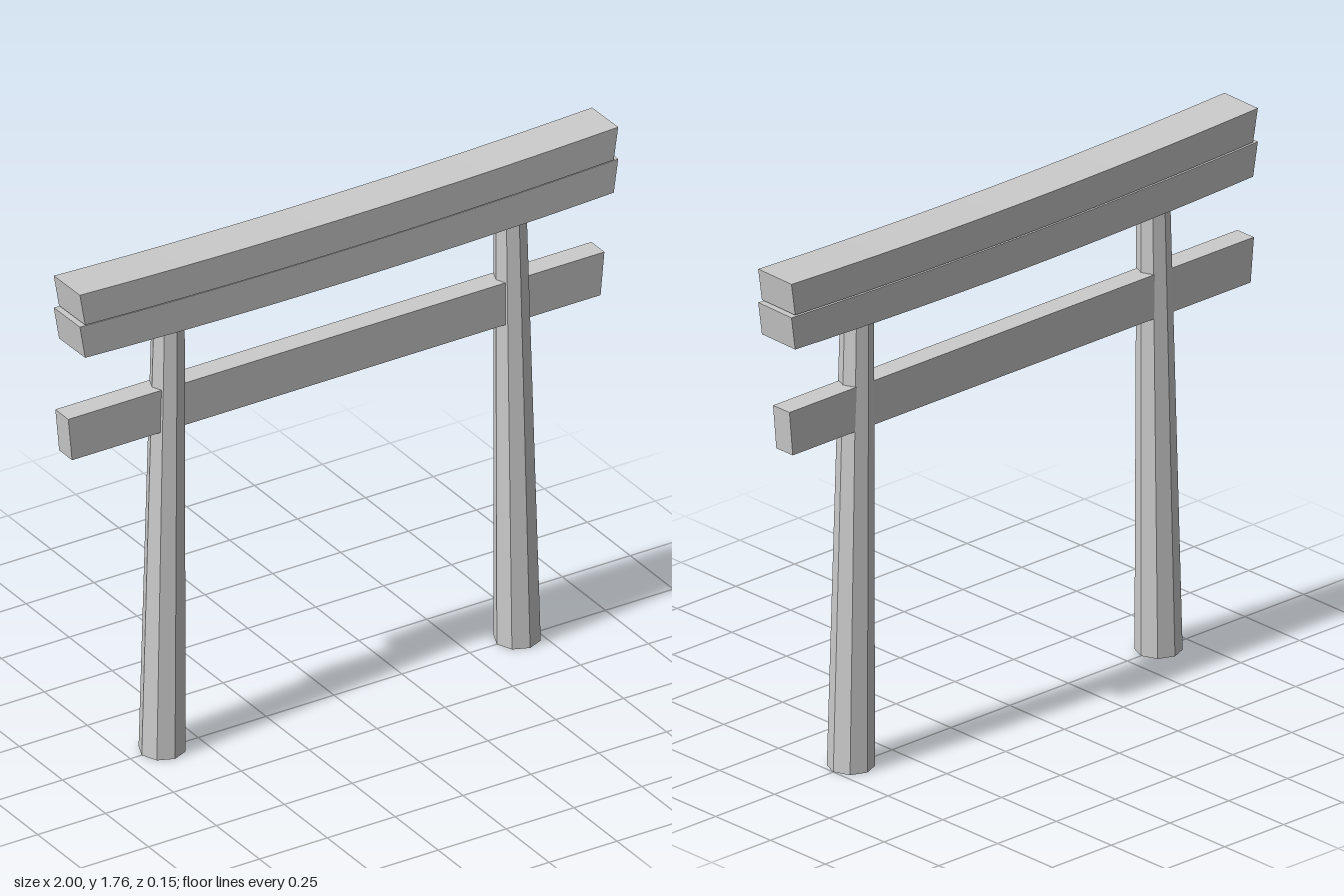
import * as THREE from 'three';

const material = new THREE.MeshStandardMaterial({ color: 0xcccccc, flatShading: true });

// Beam seen from the front: sagging top and bottom edges, ends slanting inward, extruded along z.
function beam(name, { yTop, yBottom, sag, left, right, inset, depth, z = 0, tilt = 0 }) {
  const mid = (yTop + yBottom) / 2;
  const steps = sag > 0 ? 16 : 1;
  const points = [];
  const edge = (x0, x1, y) => {
    for (let i = 0; i <= steps; i++) {
      const t = i / steps;
      const u = 2 * t - 1;
      points.push(new THREE.Vector2(x0 + (x1 - x0) * t, y - mid + sag * u * u));
    }
  };
  edge(left + inset, right - inset, yBottom);
  edge(right, left, yTop);
  const geometry = new THREE.ExtrudeGeometry(new THREE.Shape(points), { depth, bevelEnabled: false });
  geometry.translate(0, 0, -depth / 2);
  const mesh = new THREE.Mesh(geometry, material);
  mesh.name = name;
  mesh.position.set(0, mid, z);
  mesh.rotation.x = tilt;
  return mesh;
}

// Tapered octagonal post whose top leans toward the middle.
function pillar(name, xBottom, xTop) {
  const height = 1.53;
  const geometry = new THREE.CylinderGeometry(0.053, 0.075, height, 8);
  geometry.translate(0, height / 2, 0);
  const p = geometry.attributes.position;
  for (let i = 0; i < p.count; i++) {
    p.setX(i, p.getX(i) + THREE.MathUtils.lerp(xBottom, xTop, p.getY(i) / height));
  }
  geometry.computeVertexNormals();
  const mesh = new THREE.Mesh(geometry, material);
  mesh.name = name;
  return mesh;
}

export function createModel() {
  const group = new THREE.Group();
  group.name = 'gate';

  // Posts
  group.add(pillar('rightPillar', -0.633, -0.611));
  group.add(pillar('leftPillar', 0.675, 0.649));

  // Straight tie beam passing through the posts
  group.add(beam('tieBeam', {
    yTop: 1.305, yBottom: 1.155, sag: 0, left: -1, right: 0.975, inset: 0.014, depth: 0.075, z: -0.004,
  }));

  // Two stacked curved lintels
  const lintel = { sag: 0.02, left: -0.983, right: 1, inset: 0.018, depth: 0.152, tilt: -0.02 };
  group.add(beam('lowerLintel', { ...lintel, yTop: 1.628, yBottom: 1.514 }));
  group.add(beam('upperLintel', { ...lintel, yTop: 1.742, yBottom: 1.631 }));

  return group;
}
